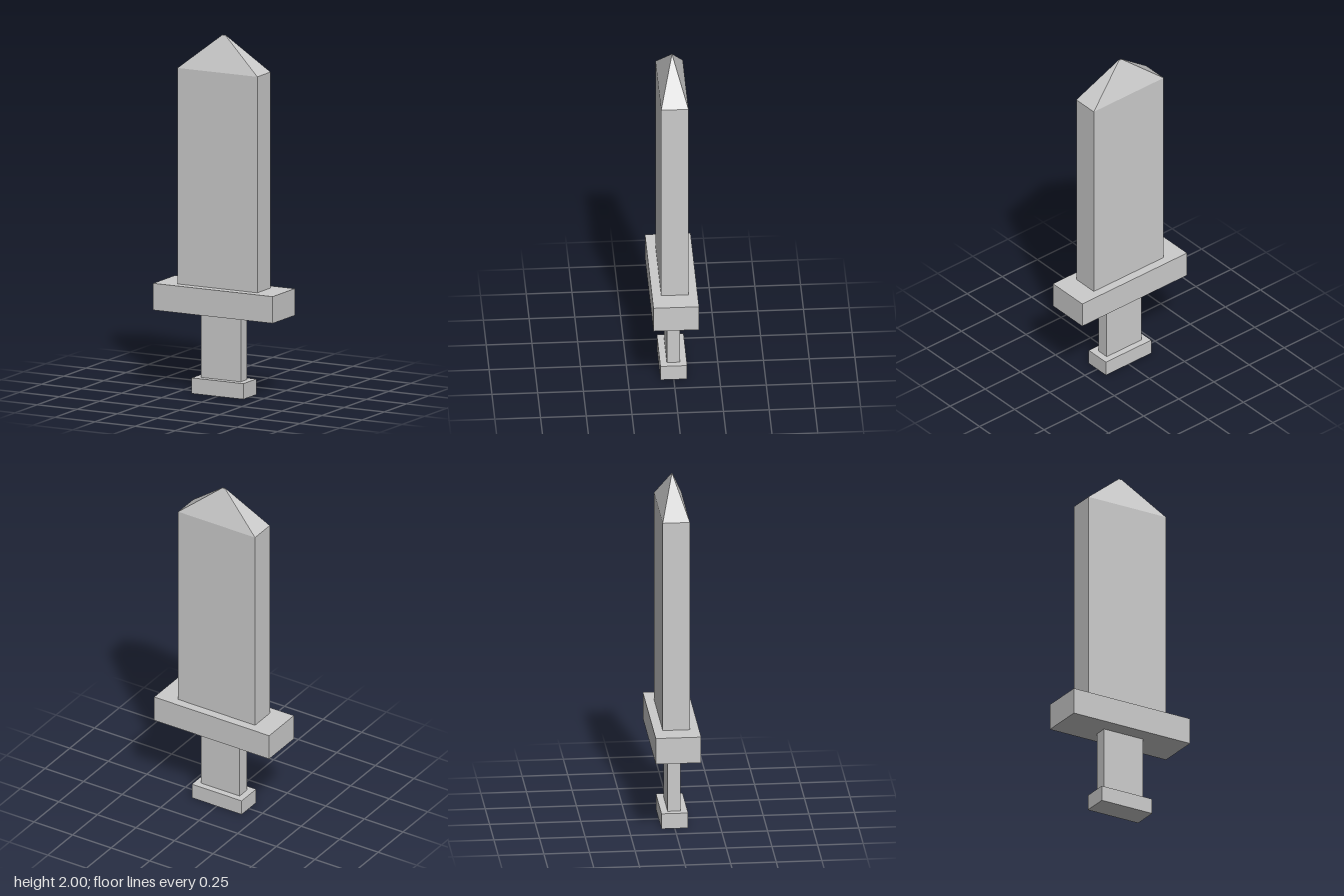
import * as THREE from 'three';

const material = new THREE.MeshStandardMaterial({ color: 0xcccccc, flatShading: true });

// Box spanning y0..y1, centred on x and z
function block(name, width, depth, y0, y1) {
  const geometry = new THREE.BoxGeometry(width, y1 - y0, depth);
  geometry.translate(0, (y0 + y1) / 2, 0);
  const mesh = new THREE.Mesh(geometry, material);
  mesh.name = name;
  return mesh;
}

// Blade: a slab with one extra ring at the shoulder, its top drawn in to a tiny flat point
function makeBlade(width, depth, y0, shoulder, y1) {
  const geometry = new THREE.BoxGeometry(width, 2, depth, 1, 2, 1);
  const p = geometry.attributes.position;
  for (let i = 0; i < p.count; i++) {
    const level = Math.round(p.getY(i));
    p.setY(i, [y0, shoulder, y1][level + 1]);
    if (level === 1) {
      p.setX(i, Math.sign(p.getX(i)) * 0.01);
      p.setZ(i, Math.sign(p.getZ(i)) * 0.0025);
    }
  }
  geometry.computeVertexNormals();
  const mesh = new THREE.Mesh(geometry, material);
  mesh.name = 'blade';
  return mesh;
}

export function createModel() {
  const sword = new THREE.Group();
  sword.name = 'sword';
  sword.add(
    block('pommel', 0.323, 0.146, 0, 0.087),
    block('grip', 0.249, 0.072, 0.087, 0.453),
    block('crossguard', 0.746, 0.249, 0.453, 0.602),
    makeBlade(0.498, 0.149, 0.602, 1.805, 2),
  );
  return sword;
}
